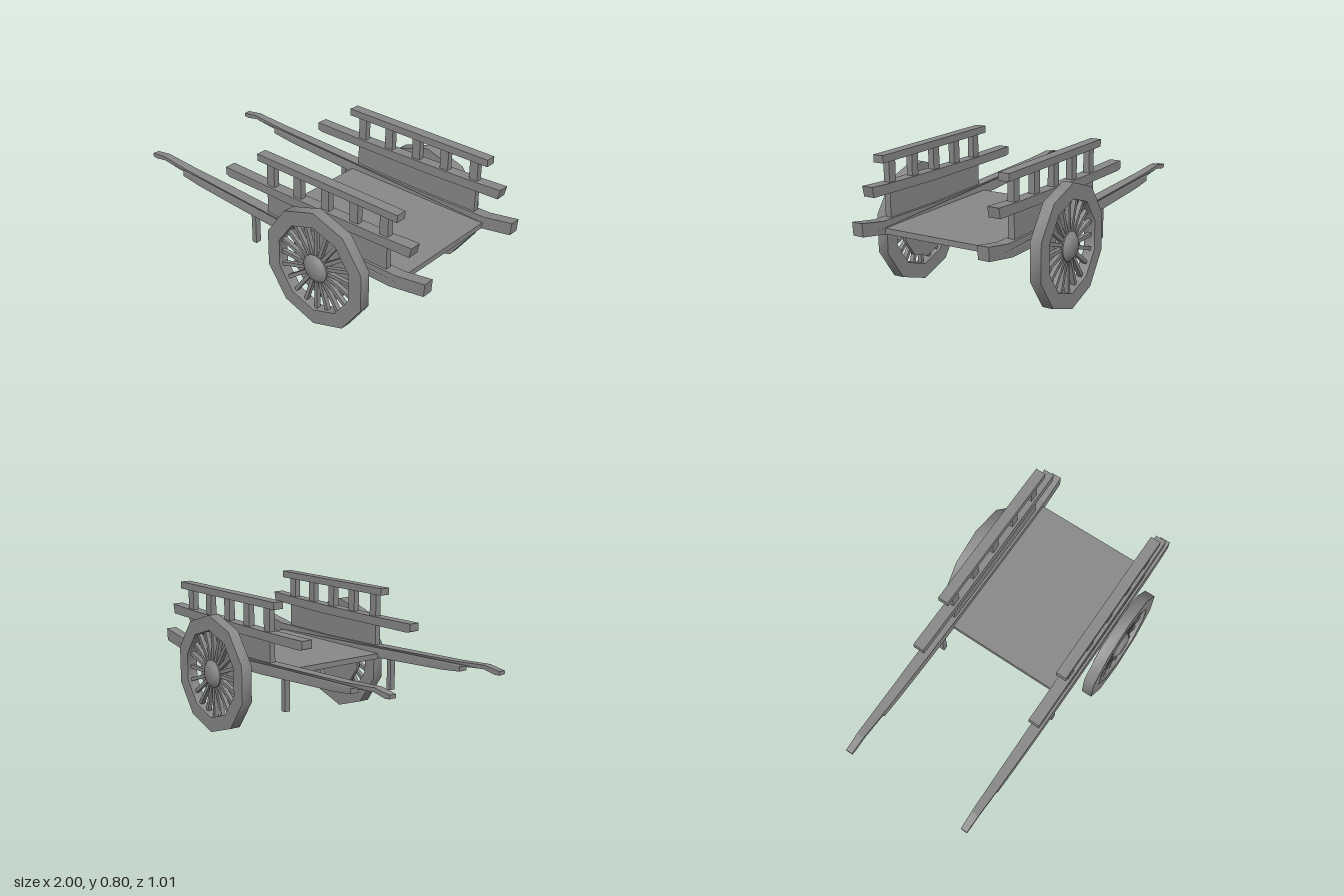
import * as THREE from 'three';
import { toCreasedNormals } from 'three/addons/utils/BufferGeometryUtils.js';

const wood = new THREE.MeshStandardMaterial({ color: 0x888888 });
wood.name = 'grey wood';

const SIDE_Z = 0.371;            // centre line of each side frame
const WHEEL = [0.37, 0.337];     // wheel centre x, y

function add(parent, name, geometry, x = 0, y = 0, z = 0) {
  const mesh = new THREE.Mesh(geometry, wood);
  mesh.name = name;
  mesh.position.set(x, y, z);
  parent.add(mesh);
  return mesh;
}

// Box given by its x and y limits, centred on z
function slab(parent, name, x0, x1, y0, y1, depth) {
  return add(parent, name, new THREE.BoxGeometry(x1 - x0, y1 - y0, depth), (x0 + x1) / 2, (y0 + y1) / 2);
}

// Side profile extruded across z, narrowing by the rule widthAt(x)
function beam(points, widthAt) {
  const shape = new THREE.Shape(points.map(([x, y]) => new THREE.Vector2(x, y)));
  const geo = new THREE.ExtrudeGeometry(shape, { depth: 1, bevelEnabled: false });
  const p = geo.attributes.position;
  for (let i = 0; i < p.count; i++) p.setZ(i, (p.getZ(i) - 0.5) * widthAt(p.getX(i)));
  geo.computeVertexNormals();
  return geo;
}

// Turned part with its axis along z; profile is [radius, z]
function turned(profile, sides) {
  const geo = new THREE.LatheGeometry(profile.map(([r, z]) => new THREE.Vector2(r, z)), sides);
  geo.rotateX(Math.PI / 2);
  return toCreasedNormals(geo, 0.7);
}

function createWheel() {
  const wheel = new THREE.Group();
  wheel.name = 'wheel';
  add(wheel, 'rim', turned([[0.335, 0.436], [0.335, 0.498], [0.25, 0.498], [0.25, 0.436], [0.335, 0.436]], 10));
  add(wheel, 'innerDisc', turned([[0, 0.416], [0.2, 0.416], [0.2, 0.436], [0, 0.436]], 10));
  add(wheel, 'hub', turned([[0, 0.43], [0.08, 0.43], [0.08, 0.484], [0.06, 0.499], [0.045, 0.507], [0, 0.507]], 16));
  // Spokes
  const spokeGeo = new THREE.BoxGeometry(0.02, 0.2, 0.024);
  spokeGeo.translate(0, 0.16, 0.466);
  const count = 20;
  for (let i = 0; i < count; i++) {
    add(wheel, 'spoke', spokeGeo).rotation.z = (i / count) * Math.PI * 2;
  }
  return wheel;
}

function createSide() {
  const side = new THREE.Group();
  side.name = 'sideFrame';

  // Long shaft with a slim handle at its end
  const shaft = [
    [-1, 0.465], [-0.97, 0.462], [-0.89, 0.478], [-0.73, 0.464], [-0.73, 0.435], [-0.6, 0.422],
    [-0.35, 0.41], [0, 0.392], [0.37, 0.383], [0.79, 0.383], [0.995, 0.418],
    [1, 0.49], [0.83, 0.461], [0.37, 0.455], [0, 0.462], [-0.35, 0.474], [-0.7, 0.486], [-0.9, 0.5], [-1, 0.485],
  ];
  add(side, 'shaft', beam(shaft, (x) => 0.062 - 0.024 * Math.max(0, (-x - 0.35) / 0.65) ** 1.5));

  // Slightly bowed middle rail
  const rail = [
    [-0.355, 0.588], [-0.33, 0.58], [0, 0.582], [0.4, 0.583], [0.9, 0.598],
    [0.912, 0.654], [0.75, 0.645], [0.4, 0.637], [0, 0.63], [-0.355, 0.632],
  ];
  add(side, 'middleRail', beam(rail, () => 0.064));

  slab(side, 'topRail', -0.11, 0.82, 0.757, 0.797, 0.06);
  slab(side, 'sidePanel', -0.055, 0.755, 0.43, 0.61, 0.034);
  for (let i = 0; i < 5; i++) {
    const x = -0.028 + i * 0.19;
    slab(side, 'railPost', x - 0.026, x + 0.026, 0.6, 0.77, 0.035);
  }
  slab(side, 'propLeg', -0.185, -0.155, 0.222, 0.43, 0.034);
  return side;
}

export function createModel() {
  const cart = new THREE.Group();
  cart.name = 'handCart';

  slab(cart, 'deck', -0.09, 0.82, 0.39, 0.421, 0.7);

  const axleGeo = new THREE.CylinderGeometry(0.026, 0.026, 0.88, 16);
  axleGeo.rotateX(Math.PI / 2);
  add(cart, 'axle', axleGeo, WHEEL[0], WHEEL[1] + 0.003);

  for (const s of [1, -1]) {
    const side = createSide();
    side.position.z = s * SIDE_Z;
    const wheel = createWheel();
    wheel.position.set(WHEEL[0], WHEEL[1], 0);
    if (s < 0) wheel.rotation.y = Math.PI;
    cart.add(side, wheel);
  }
  return cart;
}
